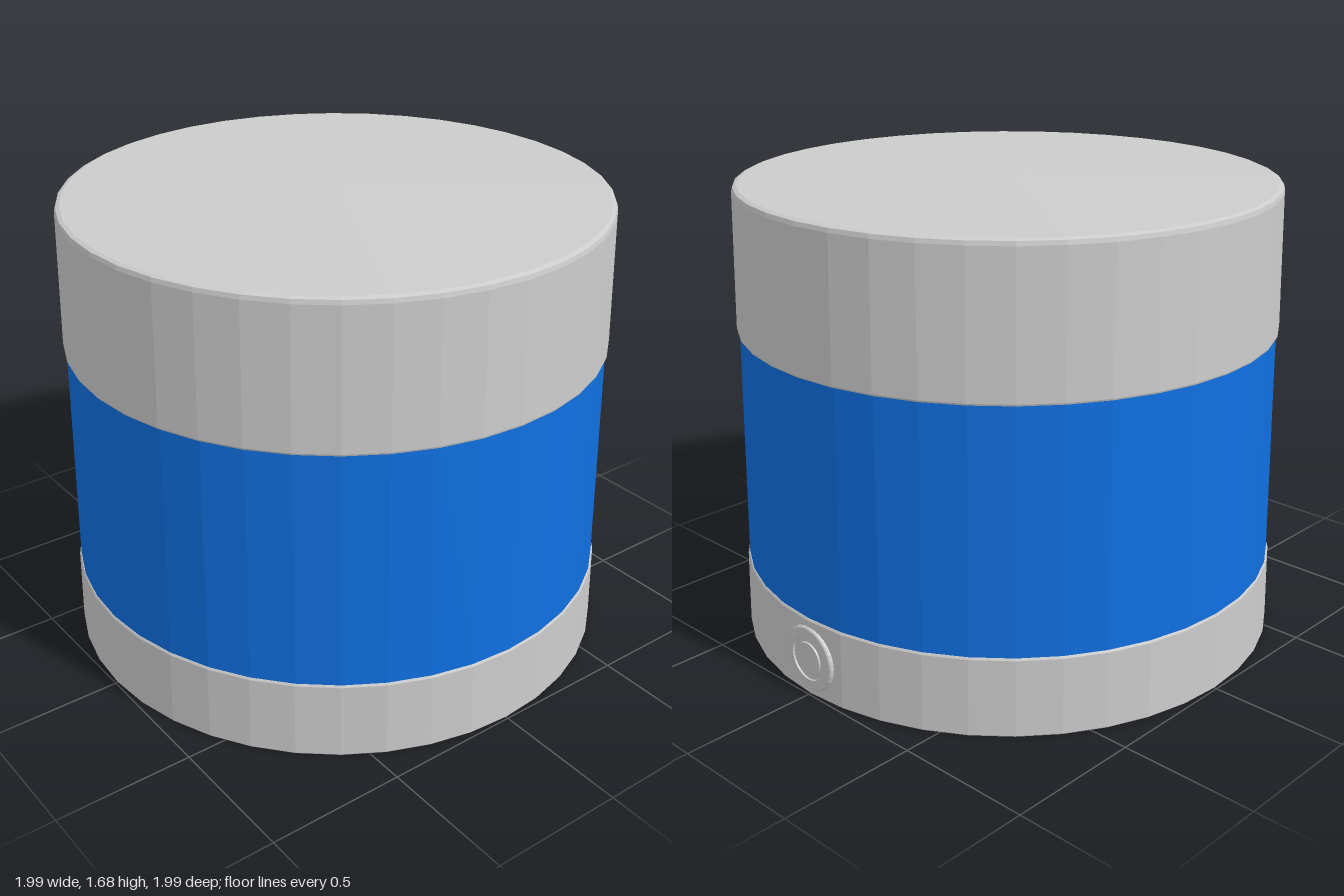
import * as THREE from 'three';

const SIDES = 40;
const TILT = 0.1; // underside details are turned slightly about the axis

const grey = new THREE.MeshStandardMaterial({ color: 0xcccccc, flatShading: true, side: THREE.DoubleSide });
const blue = new THREE.MeshStandardMaterial({ color: 0x0f6fe0, flatShading: true, side: THREE.DoubleSide });

function add(group, name, geometry, material = grey) {
  const mesh = new THREE.Mesh(geometry, material);
  mesh.name = name;
  group.add(mesh);
  return mesh;
}

// Revolved shell from [radius, height] pairs, bottom to top
function turned(points, sides = SIDES) {
  return new THREE.LatheGeometry(points.map(([r, y]) => new THREE.Vector2(r, y)), sides);
}

// Underside position in shape coordinates, with the tilt applied
function spot(x, z) {
  const c = Math.cos(TILT), s = Math.sin(TILT);
  return new THREE.Vector2(x * c - z * s, -(x * s + z * c));
}

// Horizontal disc with a centre hole, two screw holes and optional label recesses
function plate(y, height, centreRadius, recesses) {
  const shape = new THREE.Shape().absarc(0, 0, 0.99, 0, Math.PI * 2);
  const drill = (p, r) => shape.holes.push(new THREE.Path().absarc(p.x, p.y, r, 0, Math.PI * 2, true));
  drill(spot(0, 0), centreRadius);
  for (const side of [-1, 1]) {
    drill(spot(0, side * 0.865), 0.036);
    if (recesses) {
      const corners = [[-0.51, 0.17], [0.51, 0.17], [0.51, 0.69], [-0.51, 0.69]];
      shape.holes.push(new THREE.Path(corners.map(([x, z]) => spot(x, side * z))));
    }
  }
  const g = new THREE.ExtrudeGeometry(shape, { depth: height, bevelEnabled: false, curveSegments: SIDES / 2 });
  return g.rotateX(-Math.PI / 2).translate(0, y, 0);
}

export function createModel() {
  const model = new THREE.Group();

  // Base ring
  add(model, 'base', turned([[0.99, 0], [0.993, 0.004], [0.988, 0.28], [0.984, 0.287], [0.9, 0.287]]));

  // Underside: recessed labels, stepped centre socket and screw holes
  const underside = new THREE.Group();
  underside.name = 'underside';
  add(underside, 'bottomPlate', plate(0, 0.008, 0.065, true));
  add(underside, 'recessFloor', plate(0.008, 0.03, 0.065, false));
  add(underside, 'socketStep', plate(0.038, 0.1, 0.04, false));
  add(underside, 'holeEnds', new THREE.CircleGeometry(0.95, SIDES).rotateX(Math.PI / 2).translate(0, 0.138, 0));
  model.add(underside);

  // Blue window band
  add(model, 'windowBand', turned([[0.982, 0.285], [0.968, 1.155]]), blue);

  // Top cap with overhanging lower edge, bevelled rim and faintly domed lid
  add(model, 'topCap', turned([
    [0.94, 1.15], [0.976, 1.15], [0.978, 1.156], [0.968, 1.645],
    [0.964, 1.66], [0.95, 1.666], [0.025, 1.679], [0, 1.679],
  ]));

  // Round connector port on the left side, with a ring groove
  const port = add(model, 'connectorPort', turned([
    [0.12, 0.94], [0.12, 0.993], [0.115, 0.997], [0.08, 0.997], [0.078, 0.991],
    [0.062, 0.991], [0.06, 0.997], [0, 0.997],
  ], 28));
  port.rotation.z = -Math.PI / 2;
  port.position.y = 0.137;

  return model;
}
